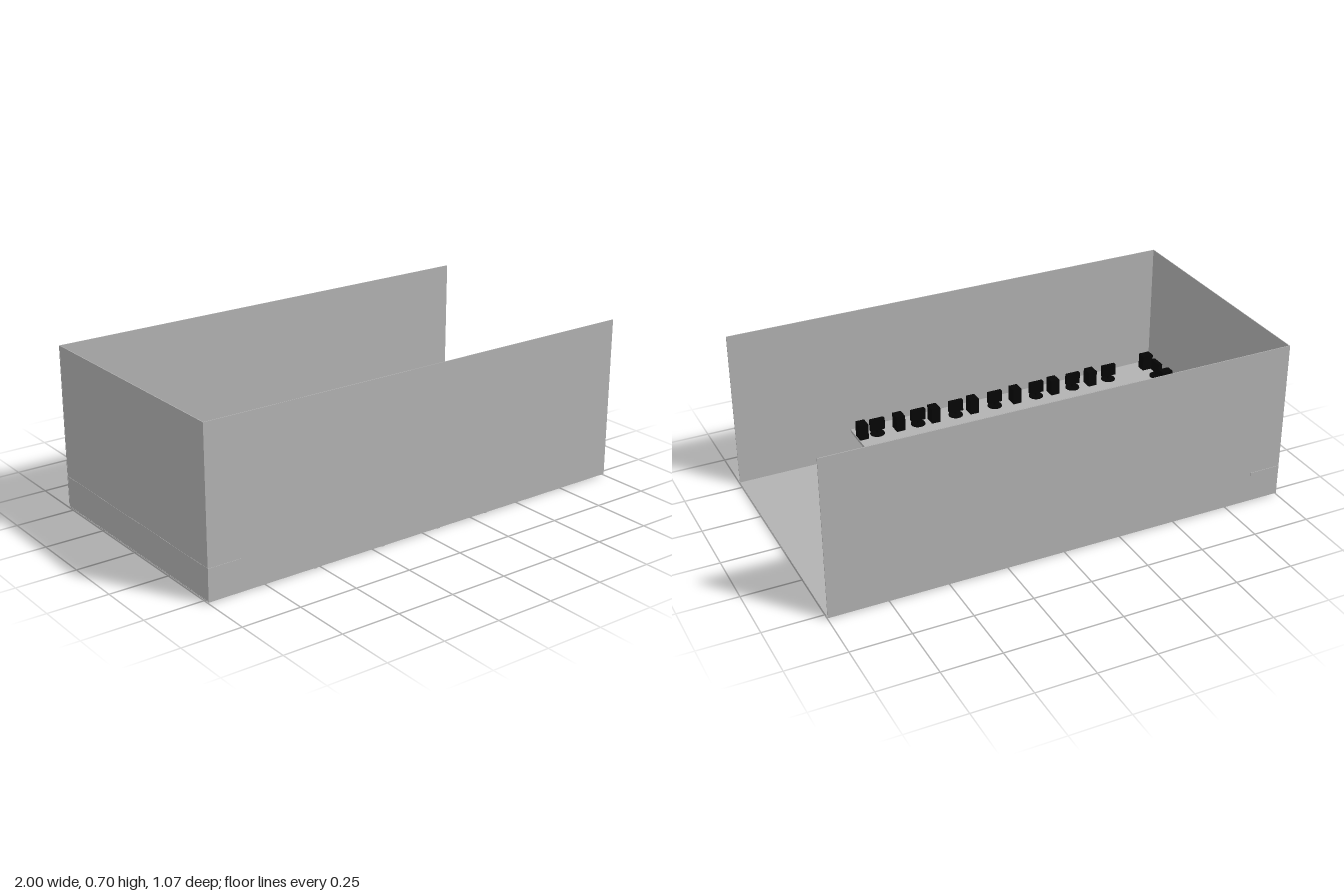
import * as THREE from 'three';

export function createModel() {
  const grey = new THREE.MeshStandardMaterial({ color: 0xb2b2b2 });
  grey.name = 'plain grey';
  const black = new THREE.MeshStandardMaterial({ color: 0x050505 });
  black.name = 'computer black';

  const room = new THREE.Group();
  room.name = 'computerRoom';

  // Box given by its low and high limits on each axis
  function box(parent, name, mat, [x0, x1], [y0, y1], [z0, z1]) {
    const mesh = new THREE.Mesh(new THREE.BoxGeometry(x1 - x0, y1 - y0, z1 - z0), mat);
    mesh.position.set((x0 + x1) / 2, (y0 + y1) / 2, (z0 + z1) / 2);
    mesh.name = name;
    parent.add(mesh);
    return mesh;
  }

  // Shell: floor and three walls, open on the +x side
  box(room, 'floor', grey, [-1, 1], [0.005, 0.008], [-0.532, 0.532]);
  box(room, 'frontWall', grey, [-1, 1], [0.005, 0.698], [0.529, 0.532]);
  box(room, 'backWall', grey, [-1, 1], [0.005, 0.698], [-0.532, -0.529]);
  box(room, 'endWall', grey, [-0.999, -0.996], [0.005, 0.698], [-0.532, 0.532]);

  // Long side tables on upright panels
  const topY = 0.14;
  function sideTable(name, side, supports, bottom) {
    const table = new THREE.Group();
    table.name = name;
    const z = side > 0 ? [0.365, 0.528] : [-0.528, -0.368];
    box(table, 'tableTop', grey, [-0.86, 0.492], [0.127, topY], z);
    for (const x of supports) {
      box(table, 'support', grey, [x - 0.006, x + 0.006], [bottom, 0.127], z);
    }
    room.add(table);
  }
  sideTable('frontTable', 1, [0.33, 0.08, -0.2, -0.52], 0);
  sideTable('backTable', -1, [0.25, 0.05, -0.2, -0.455], 0.003);

  // Table across the end wall
  const endTable = new THREE.Group();
  endTable.name = 'endTable';
  box(endTable, 'tableTop', grey, [-1, -0.86], [0.127, topY], [-0.534, 0.534]);
  for (const z of [-0.25, 0.25]) {
    box(endTable, 'support', grey, [-0.995, -0.86], [0.008, 0.127], [z - 0.006, z + 0.006]);
  }
  room.add(endTable);

  // Central desk with a low divider
  const desk = new THREE.Group();
  desk.name = 'centreDesk';
  box(desk, 'deskTop', grey, [-0.42, -0.05], [0.122, 0.135], [-0.037, 0.083]);
  box(desk, 'divider', grey, [-0.42, -0.05], [0.008, 0.155], [0.03, 0.039]);
  box(desk, 'deskEnd', grey, [-0.42, -0.408], [0.008, 0.122], [-0.037, 0.083]);
  box(desk, 'deskEnd', grey, [-0.062, -0.05], [0.008, 0.122], [-0.037, 0.083]);
  room.add(desk);

  // Computers: shared shapes, screen facing local +z
  const baseGeo = new THREE.CylinderGeometry(0.031, 0.032, 0.005, 20);
  const neckGeo = new THREE.CylinderGeometry(0.005, 0.005, 0.03, 10);
  const screenGeo = new THREE.BoxGeometry(0.065, 0.052, 0.018);
  const towerGeo = new THREE.BoxGeometry(0.04, 0.07, 0.05);

  function addPart(parent, name, geo, y) {
    const mesh = new THREE.Mesh(geo, black);
    mesh.name = name;
    mesh.position.y = y;
    parent.add(mesh);
  }
  function monitor(x, z, turn) {
    const g = new THREE.Group();
    g.name = 'monitor';
    addPart(g, 'monitorBase', baseGeo, 0.0025);
    addPart(g, 'monitorNeck', neckGeo, 0.015);
    addPart(g, 'screen', screenGeo, 0.046);
    g.position.set(x, topY, z);
    g.rotation.y = turn;
    room.add(g);
  }
  function tower(x, z, turn) {
    const g = new THREE.Group();
    g.name = 'computerTower';
    addPart(g, 'towerCase', towerGeo, 0.035);
    g.position.set(x, topY, z);
    g.rotation.y = turn;
    room.add(g);
  }

  // Row along the back wall
  for (const x of [-0.74, -0.56, -0.385, -0.21, -0.04, 0.145, 0.325]) monitor(x, -0.447, 0);
  for (const x of [-0.825, -0.645, -0.455, -0.285, -0.11, 0.06, 0.25]) tower(x, -0.445, 0);
  // Row along the front wall
  for (const x of [-0.735, -0.55, -0.365, -0.16, 0.03, 0.21, 0.4]) monitor(x, 0.447, Math.PI);
  for (const x of [-0.64, -0.45, -0.26, -0.05, 0.135, 0.3, 0.47]) tower(x, 0.445, Math.PI);
  // Row along the end wall
  for (const z of [-0.365, -0.19, 0, 0.19, 0.378]) monitor(-0.95, z, Math.PI / 2);
  for (const z of [-0.275, -0.093, 0.1, 0.292, 0.468]) tower(-0.945, z, Math.PI / 2);

  return room;
}
